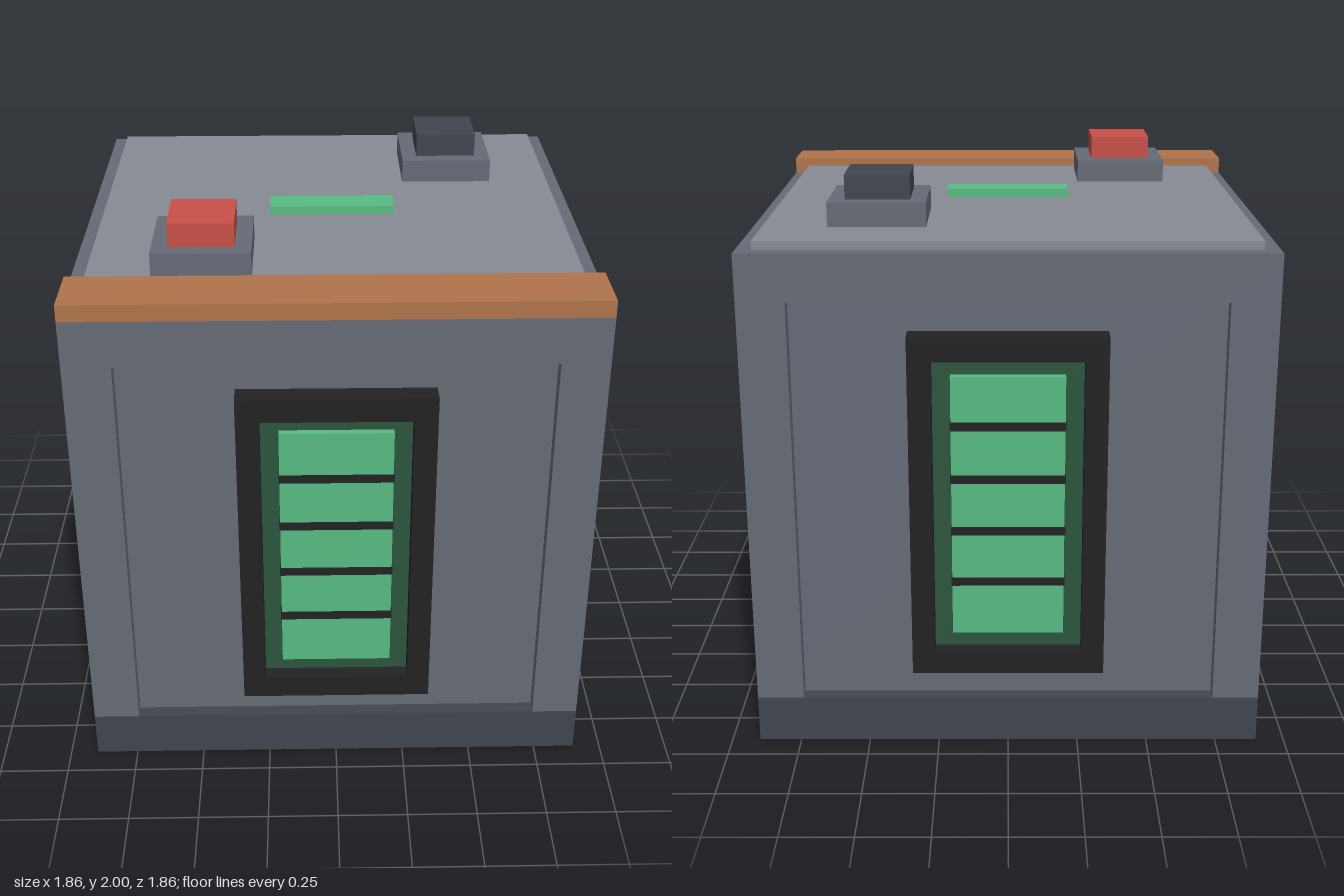
import * as THREE from 'three';

const colour = (name, hex) => {
  const m = new THREE.MeshStandardMaterial({ color: hex });
  m.name = name;
  return m;
};

export function createModel() {
  const mats = {
    body: colour('bodyGrey', 0x666b76),
    plate: colour('plateGrey', 0x878b94),
    dark: colour('darkSlate', 0x40454f),
    black: colour('frameBlack', 0x222222),
    backing: colour('deepGreen', 0x2c553e),
    glow: colour('glowGreen', 0x58bc82),
    copper: colour('copper', 0xb0744b),
    red: colour('terminalRed', 0xc85048),
  };
  const model = new THREE.Group();
  model.name = 'powerCell';

  const add = (parent, name, geometry, material) => {
    const mesh = new THREE.Mesh(geometry, material);
    mesh.name = name;
    parent.add(mesh);
    return mesh;
  };
  // Box given by its minimum and maximum corners
  const box = (parent, name, material, [x0, y0, z0], [x1, y1, z1]) => {
    const g = new THREE.BoxGeometry(x1 - x0, y1 - y0, z1 - z0);
    g.translate((x0 + x1) / 2, (y0 + y1) / 2, (z0 + z1) / 2);
    return add(parent, name, g, material);
  };
  const polygon = (pts, Type = THREE.Shape) => new Type(pts.map(([x, y]) => new THREE.Vector2(x, y)));
  const rect = (w, y0, y1) => [[-w, y0], [w, y0], [w, y1], [-w, y1]];
  const extrude = (shape, z0, z1) => {
    const g = new THREE.ExtrudeGeometry(shape, { depth: z1 - z0, bevelEnabled: false });
    return g.translate(0, 0, z0);
  };

  // Body and base
  box(model, 'base', mats.dark, [-0.9, 0, -0.9], [0.9, 0.17, 0.9]);
  box(model, 'core', mats.body, [-0.85, 0.17, -0.85], [0.85, 1.8, 0.85]);

  // Four sides, each a raised surround with a framed charge window
  ['front', 'left', 'back', 'right'].forEach((name, i) => {
    const side = new THREE.Group();
    side.name = name + 'Side';
    side.rotation.y = i * Math.PI / 2;
    model.add(side);

    // Side surrounds stop short of the corners so they meet the front and back ones
    const w = i % 2 ? 0.85 : 0.9;
    const surround = polygon([
      [-w, 0.17], [-0.735, 0.17], [-0.735, 1.635], [0.735, 1.635],
      [0.735, 0.17], [w, 0.17], [w, 1.8], [-w, 1.8],
    ]);
    add(side, 'surround', extrude(surround, 0.85, 0.9), mats.body);

    const frame = polygon(rect(0.338, 0.285, 1.525));
    frame.holes.push(polygon(rect(0.258, 0.37, 1.44), THREE.Path));
    add(side, 'windowFrame', extrude(frame, 0.84, 0.93), mats.black);
    box(side, 'windowBacking', mats.backing, [-0.259, 0.365, 0.84], [0.259, 1.445, 0.875]);
    box(side, 'chargePanel', mats.glow, [-0.195, 0.43, 0.87], [0.195, 1.38, 0.9]);
    for (let k = 0; k < 4; k++) {
      const y = 0.63 + k * 0.191;
      box(side, 'slat', mats.black, [-0.198, y - 0.015, 0.87], [0.198, y + 0.015, 0.905]);
    }
  });

  // Lid
  box(model, 'topPlate', mats.plate, [-0.845, 1.795, -0.845], [0.845, 1.83, 0.68]);
  box(model, 'copperStrip', mats.copper, [-0.9, 1.8, 0.675], [0.9, 1.86, 0.9]);
  box(model, 'indicator', mats.glow, [-0.228, 1.825, -0.057], [0.228, 1.86, 0.057]);

  // Terminals
  [['red', -0.45, 0.45, mats.red], ['dark', 0.45, -0.45, mats.dark]].forEach(([name, x, z, mat]) => {
    const terminal = new THREE.Group();
    terminal.name = name + 'Terminal';
    terminal.position.set(x, 0, z);
    model.add(terminal);
    box(terminal, 'terminalBase', mats.body, [-0.17, 1.825, -0.17], [0.17, 1.915, 0.17]);
    box(terminal, 'terminalCap', mat, [-0.113, 1.91, -0.113], [0.113, 2, 0.113]);
  });

  return model;
}
